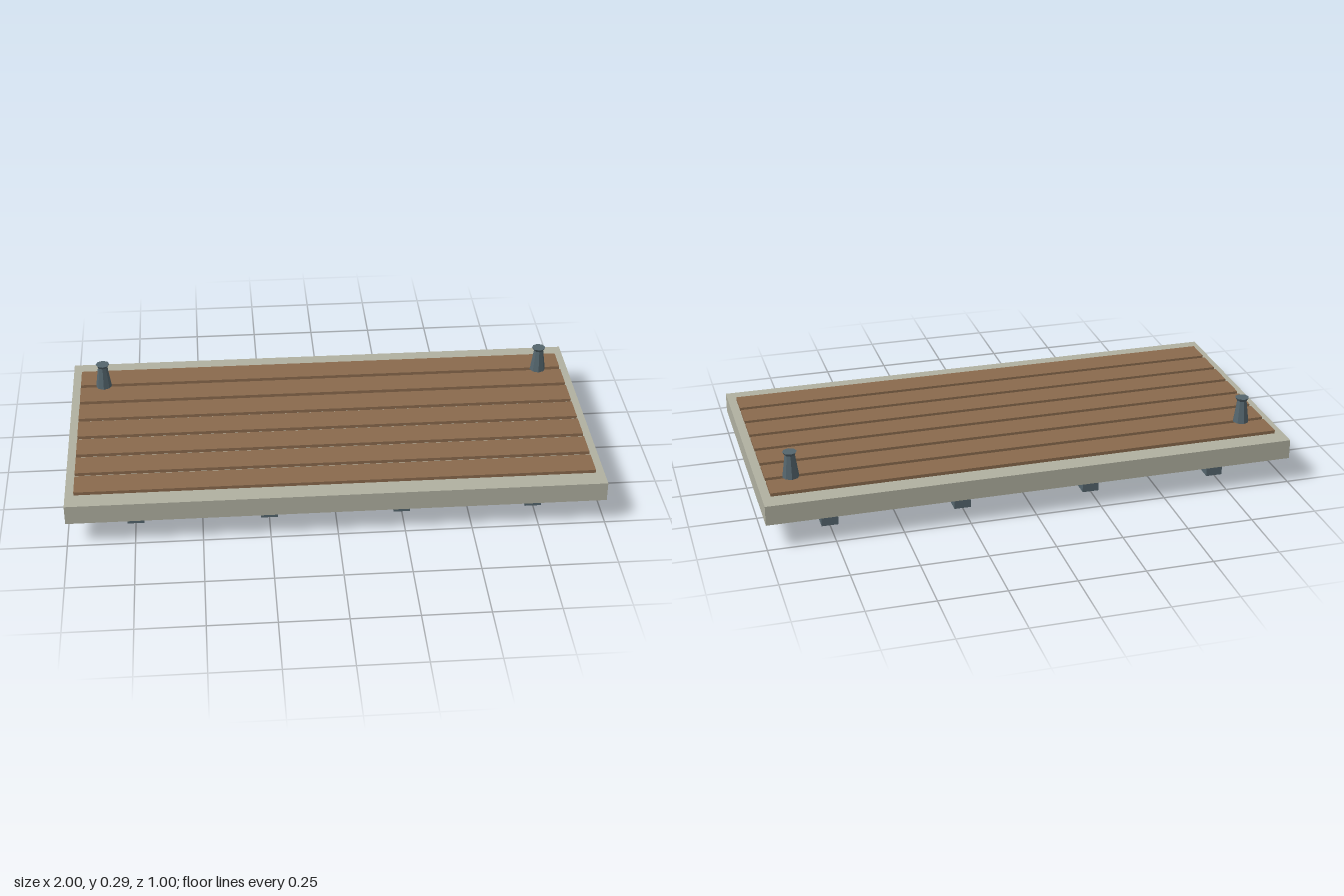
import * as THREE from 'three';

const material = (name, color) => {
  const m = new THREE.MeshStandardMaterial({ color });
  m.name = name;
  return m;
};

export function createModel() {
  const model = new THREE.Group();
  model.name = 'dockPlatform';
  const concrete = material('concrete', 0xb0b0a0);
  const wood = material('wood', 0x8a6a4d);
  const steel = material('steel', 0x54656d);

  const add = (name, geometry, mat, x, y, z, parent = model) => {
    const mesh = new THREE.Mesh(geometry, mat);
    mesh.name = name;
    mesh.position.set(x, y, z);
    parent.add(mesh);
  };

  // Slab, y 0.10 to 0.175
  add('slab', new THREE.BoxGeometry(2, 0.075, 1), concrete, 0, 0.1375, 0);

  // Seven deck planks running along x
  const plank = new THREE.BoxGeometry(1.935, 0.0125, 0.105);
  for (let i = -3; i <= 3; i++) add('plank', plank, wood, 0, 0.18125, i * 0.125);

  // Four support beams under the slab
  const beam = new THREE.BoxGeometry(0.0625, 0.1, 0.75);
  for (const x of [-0.75, -0.25, 0.25, 0.75]) add('supportBeam', beam, steel, x, 0.05, 0);

  // Two mooring bollards: tapered post with a flared cap
  const post = new THREE.CylinderGeometry(0.0188, 0.0312, 0.0875, 8).toNonIndexed();
  const cap = new THREE.CylinderGeometry(0.027, 0.0188, 0.0125, 8).toNonIndexed();
  post.computeVertexNormals();
  cap.computeVertexNormals();
  for (const side of [-1, 1]) {
    const bollard = new THREE.Group();
    bollard.name = side > 0 ? 'leftBollard' : 'rightBollard';
    bollard.position.set(side * 0.875, 0.1875, -0.3125);
    add('bollardPost', post, steel, 0, 0.04375, 0, bollard);
    add('bollardCap', cap, steel, 0, 0.09375, 0, bollard);
    model.add(bollard);
  }
  return model;
}
